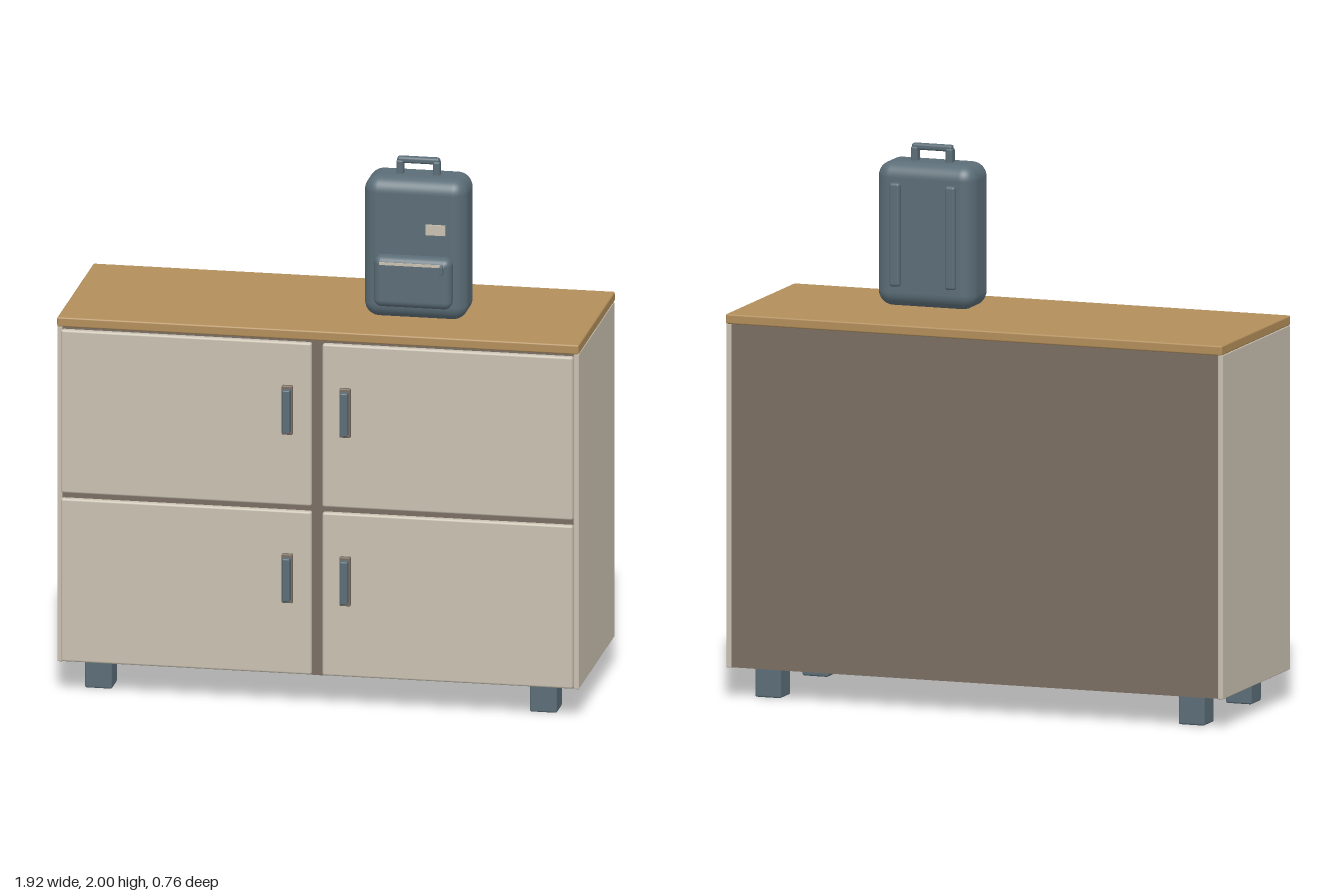
import * as THREE from 'three';
import { RoundedBoxGeometry } from 'three/addons/geometries/RoundedBoxGeometry.js';

const material = (name, color) => {
  const m = new THREE.MeshStandardMaterial({ color });
  m.name = name;
  return m;
};

export function createModel() {
  const cream = material('cream', 0xc8c0b0);
  const wood = material('wood', 0xb28e5a);
  const taupe = material('taupe', 0x7a6d62);
  const slate = material('slate', 0x5b6d77);

  // Box given by its limits on each axis; radius 0 leaves sharp edges
  const block = (parent, name, mat, [x0, x1], [y0, y1], [z0, z1], radius = 0, segments = 2) => {
    const size = [x1 - x0, y1 - y0, z1 - z0];
    const geometry = radius
      ? new RoundedBoxGeometry(...size, segments, radius)
      : new THREE.BoxGeometry(...size);
    const mesh = new THREE.Mesh(geometry, mat);
    mesh.name = name;
    mesh.position.set((x0 + x1) / 2, (y0 + y1) / 2, (z0 + z1) / 2);
    parent.add(mesh);
    return mesh;
  };
  // Limits around a centre
  const around = (c, half) => [c - half, c + half];

  const model = new THREE.Group();
  model.name = 'cabinetWithBackpack';

  // Cabinet body
  const cabinet = new THREE.Group();
  cabinet.name = 'cabinet';
  model.add(cabinet);
  block(cabinet, 'carcass', taupe, [-0.942, 0.942], [0.112, 1.37], [-0.369, 0.312]);
  block(cabinet, 'worktop', wood, [-0.958, 0.958], [1.37, 1.406], [-0.381, 0.319], 0.006);
  block(cabinet, 'centrePost', taupe, [-0.02, 0.02], [0.112, 1.368], [0.3, 0.317]);

  for (const side of [-1, 1]) {
    block(cabinet, 'sidePanel', cream, around(side * 0.948, 0.01), [0.11, 1.371], [-0.371, 0.315], 0.004);

    // Two doors on each side, one above the other
    for (const [y0, y1, handleY] of [[0.118, 0.731, 0.48], [0.752, 1.365, 1.113]]) {
      block(cabinet, 'door', cream, around(side * 0.48, 0.46), [y0, y1], [0.314, 0.341], 0.008);
      const x = side * 0.106;
      block(cabinet, 'handlePlate', taupe, around(x, 0.02), around(handleY, 0.092), [0.338, 0.357], 0.004);
      block(cabinet, 'handleGrip', slate, around(x, 0.014), around(handleY, 0.081), [0.35, 0.381], 0.005);
    }

    // Feet
    for (const z of [0.21, -0.27]) {
      block(cabinet, 'foot', slate, around(side * 0.817, 0.05), [0, 0.112], around(z, 0.05), 0.007);
    }
  }

  // Backpack standing on the worktop
  const backpack = new THREE.Group();
  backpack.name = 'backpack';
  model.add(backpack);
  const bx = 0.318;
  block(backpack, 'backpackBody', slate, around(bx, 0.189), [1.41, 1.938], [-0.053, 0.136], 0.055, 5);
  block(backpack, 'frontPocket', slate, around(bx, 0.143), [1.465, 1.656], [0.1, 0.18], 0.028, 4);
  block(backpack, 'zipper', cream, around(bx, 0.119), [1.627, 1.637], [0.172, 0.182]);
  block(backpack, 'zipperPull', slate, around(0.429, 0.006), [1.602, 1.637], [0.176, 0.199], 0.003);
  block(backpack, 'label', cream, around(0.398, 0.036), [1.737, 1.775], [0.136, 0.145]);

  // Shoulder straps on the back and carry handle on top
  for (const side of [-1, 1]) {
    block(backpack, 'shoulderStrap', slate, around(bx + side * 0.107, 0.02), [1.488, 1.867], [-0.072, -0.045], 0.01, 3);
    block(backpack, 'handlePost', slate, around(bx + side * 0.067, 0.013), [1.93, 1.988], around(0.043, 0.018), 0.007, 3);
  }
  block(backpack, 'carryHandle', slate, around(bx, 0.078), [1.976, 2], around(0.043, 0.014), 0.009, 3);

  return model;
}
